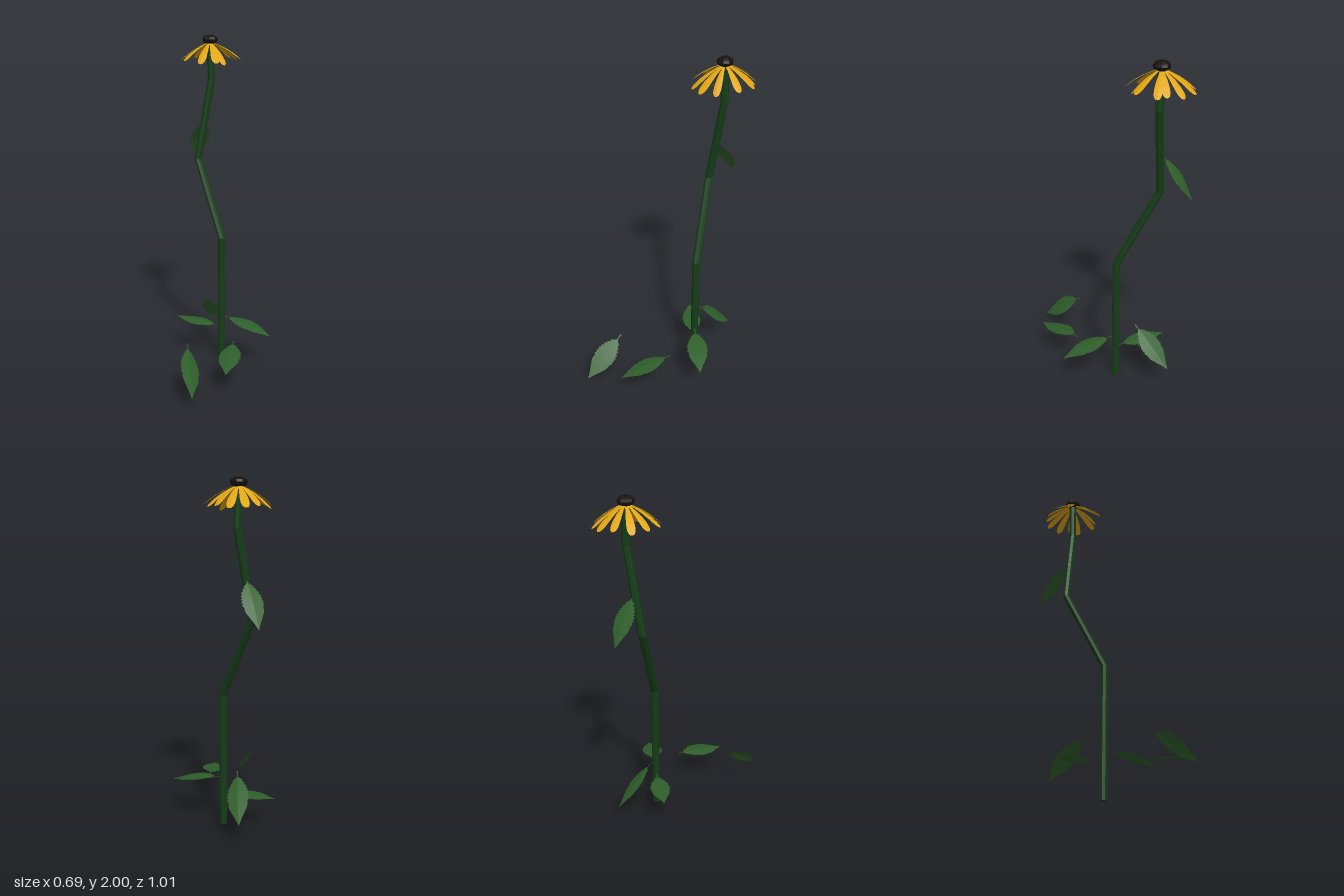
import * as THREE from 'three';

const V = (a) => new THREE.Vector3(...a);
const material = (color) =>
  new THREE.MeshStandardMaterial({ color, flatShading: true, side: THREE.DoubleSide });

// Thin blade from start to tip. Outline rows are [position along, half width],
// both as fractions of the length; the blade arches and folds along its midrib.
function blade(outline, start, tip, up, arch, fold) {
  const axis = tip.clone().sub(start);
  const length = axis.length();
  const dir = axis.clone().normalize();
  const side = new THREE.Vector3().crossVectors(up, dir).normalize();
  const normal = new THREE.Vector3().crossVectors(dir, side);
  const pos = [], index = [];
  outline.forEach(([t, w], i) => {
    const lift = arch * length * Math.sin(Math.PI * t);
    const mid = start.clone().addScaledVector(axis, t).addScaledVector(normal, lift);
    for (const s of [1, 0, -1]) {
      const p = mid.clone().addScaledVector(side, s * w * length);
      p.addScaledVector(normal, -Math.abs(s) * fold * w * length);
      pos.push(p.x, p.y, p.z);
    }
    if (i === 0) return;
    const b = i * 3, a = b - 3;
    for (const k of [0, 1]) index.push(a + k, a + k + 1, b + k + 1, a + k, b + k + 1, b + k);
  });
  const g = new THREE.BufferGeometry();
  g.setAttribute('position', new THREE.Float32BufferAttribute(pos, 3));
  g.setIndex(index);
  g.computeVertexNormals();
  return g;
}

// Leaf outline: narrow stalk, toothed lower edge, smooth pointed end
function leafOutline() {
  const rows = [[0, 0.012], [0.11, 0.008], [0.13, 0.025]];
  const teeth = 7;
  for (let i = 0; i < teeth; i++) {
    const t = 0.19 + i * 0.06;
    const w = 0.2 * Math.sin((Math.PI / 2) * Math.min(1, (t - 0.05) / 0.42));
    rows.push([t, w], [t + 0.012, w - 0.028]);
  }
  rows.push([0.66, 0.165], [0.71, 0.145], [0.86, 0.065], [1, 0]);
  return rows;
}

export function createModel() {
  const model = new THREE.Group();
  const add = (name, geometry, mat) => {
    const mesh = new THREE.Mesh(geometry, mat);
    mesh.name = name;
    model.add(mesh);
    return mesh;
  };
  const stemGreen = material(0x143d17);
  const leafGreen = material(0x2f5f2b);
  const yellow = material(0xe0a512);
  const dark = material(0x17110f);

  // Stem: one octagonal tube whose rings are moved onto the bends
  const bends = [[0, 0, -0.18], [0, 0.79, -0.18], [-0.222, 1.25, -0.27],
    [-0.165, 1.74, -0.335], [-0.172, 1.96, -0.33]];
  const stem = new THREE.CylinderGeometry(0.023, 0.023, 1, 8, bends.length - 1);
  const p = stem.attributes.position;
  for (let i = 0; i < p.count; i++) {
    const [x, y, z] = bends[Math.round((p.getY(i) + 0.5) * (bends.length - 1))];
    p.setXYZ(i, p.getX(i) + x, y, p.getZ(i) + z);
  }
  stem.computeVertexNormals();
  add('stem', stem, stemGreen);

  // Leaves: start, tip, facing direction, arch
  const outline = leafOutline();
  const leaves = [
    ['leftLeaf', [0.02, 0.285, -0.18], [0.345, 0.215, -0.18], [0, 1, 0], 0.05],
    ['rightLeaf', [-0.02, 0.207, -0.18], [-0.33, 0.213, -0.18], [0, 1, 0], 0.02],
    ['looseLeafNear', [0.18, 0.215, -0.01], [0.3, 0.16, 0.3], [0, 0.98, 0.19], 0.03],
    ['looseLeafFront', [0.04, 0.285, 0.29], [0.205, 0.08, 0.505], [0.75, 0.63, 0.03], 0.03],
    ['backLeaf', [-0.11, 0.36, -0.22], [-0.225, 0.14, -0.44], [0, 0.707, -0.707], 0.03],
    ['upperLeaf', [-0.2, 1.485, -0.305], [-0.335, 1.235, -0.43], [-0.57, 0.55, -0.57], 0.04],
  ];
  for (const [name, start, tip, up, arch] of leaves) {
    add(name, blade(outline, V(start), V(tip), V(up), arch, 0.1), leafGreen);
  }

  // Drooping petals with rounded ends, each to its own tip
  const petal = [[0, 0.04], [0.2, 0.055], [0.4, 0.085], [0.65, 0.11],
    [0.82, 0.112], [0.92, 0.09], [0.98, 0.05], [1, 0]];
  const tips = [[-0.205, 1.845, -0.51], [-0.12, 1.855, -0.49], [-0.07, 1.85, -0.48],
    [0.005, 1.86, -0.387], [-0.035, 1.825, -0.265], [-0.04, 1.84, -0.178],
    [-0.13, 1.835, -0.145], [-0.255, 1.85, -0.167], [-0.322, 1.85, -0.235],
    [-0.348, 1.84, -0.32], [-0.325, 1.855, -0.415], [-0.287, 1.85, -0.485]];
  const centre = new THREE.Vector3(-0.172, 1.965, -0.33);
  const up = new THREE.Vector3(0, 1, 0);
  tips.forEach((end, i) => {
    const tip = V(end);
    const start = centre.clone().lerp(tip, 0.1);
    add('petal' + (i + 1), blade(petal, start, tip, up, 0.05, 0.1), yellow);
  });

  // Domed flower centre
  const cone = new THREE.SphereGeometry(1, 9, 6).scale(0.048, 0.028, 0.048);
  add('flowerCentre', cone, dark).position.set(-0.172, 1.972, -0.33);

  return model;
}
